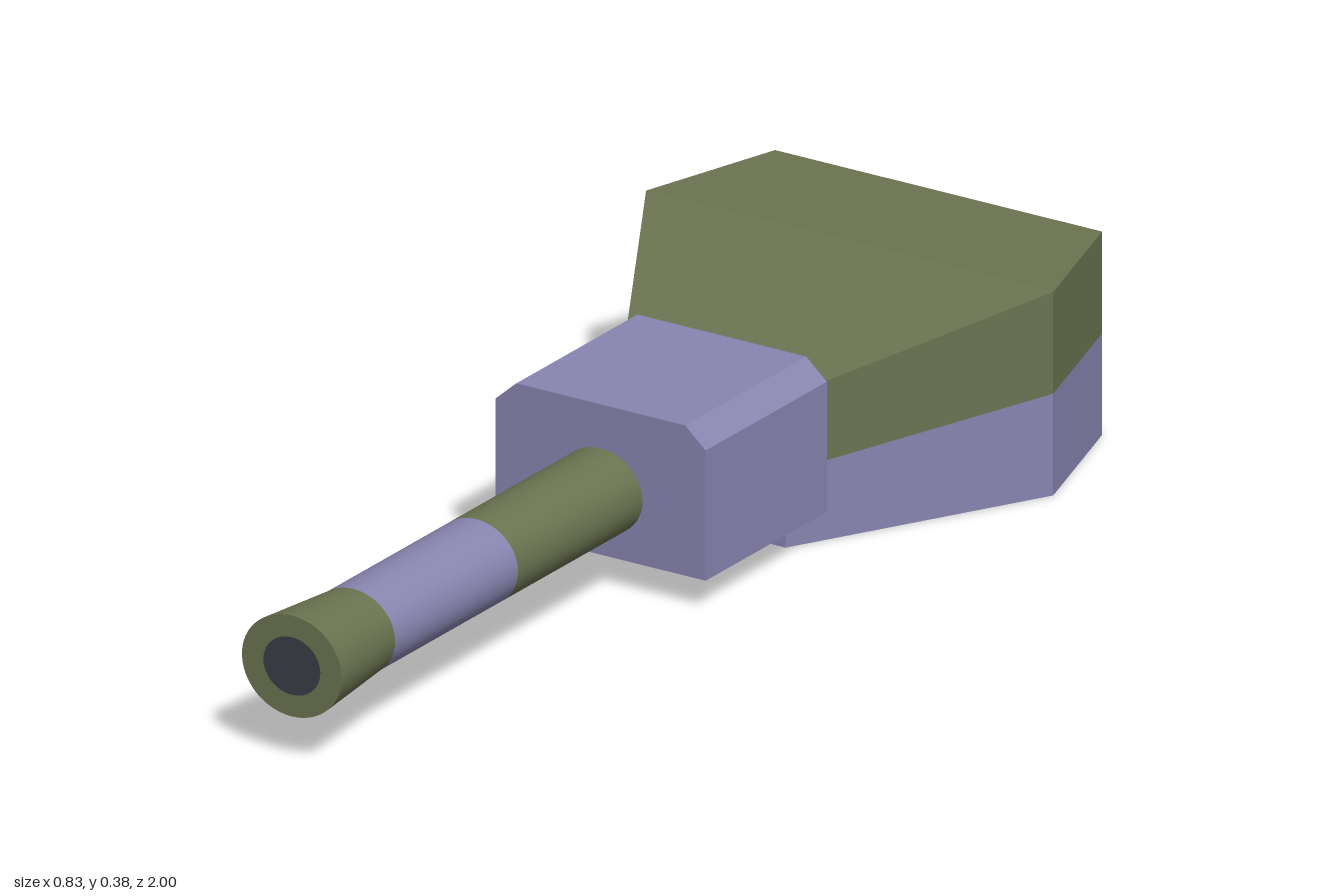
import * as THREE from 'three';

const flat = (color) => new THREE.MeshStandardMaterial({ color, flatShading: true });
const smooth = (color) => new THREE.MeshStandardMaterial({ color });
const OLIVE = 0x6b7350, PURPLE = 0x8885b0, DARK = 0x3b3d46;

function add(group, name, geometry, material) {
  const mesh = new THREE.Mesh(geometry, material);
  mesh.name = name;
  group.add(mesh);
  return mesh;
}

// Plan stations of the turret body, back to front: z, half width, roof height
const STATIONS = [
  [-1, 0.335, 0.375],
  [-0.725, 0.417, 0.375],
  [-0.275, 0.167, 0.278],
];

// One layer of the body, between two fractions of the roof height
function bodyLayer(from, to) {
  const geo = new THREE.BoxGeometry(2, 1, 2, 1, 1, 2);
  const p = geo.attributes.position;
  for (let i = 0; i < p.count; i++) {
    const [z, half, roof] = STATIONS[Math.round(p.getZ(i)) + 1];
    p.setXYZ(i, Math.sign(p.getX(i)) * half, roof * (p.getY(i) > 0 ? to : from), z);
  }
  geo.computeVertexNormals();
  return geo;
}

export function createModel() {
  const model = new THREE.Group();
  model.name = 'gunTurret';

  // Two-tone wedge body
  add(model, 'lowerBody', bodyLayer(0, 0.5), flat(PURPLE));
  add(model, 'upperBody', bodyLayer(0.5, 1), flat(OLIVE));

  // Gun mount block with chamfered top edges
  const outline = [
    [-0.215, 0.058], [0.215, 0.058], [0.215, 0.298],
    [0.173, 0.335], [-0.173, 0.335], [-0.215, 0.298],
  ].map(([x, y]) => new THREE.Vector2(x, y));
  const mount = new THREE.ExtrudeGeometry(new THREE.Shape(outline), { depth: 0.375, bevelEnabled: false });
  mount.translate(0, 0, -0.33);
  add(model, 'gunMount', mount, flat(PURPLE));

  // Slightly oval barrel, pointing forward
  const barrel = new THREE.Group();
  barrel.name = 'barrel';
  barrel.position.y = 0.176;
  barrel.scale.set(1.1, 1, 1);
  model.add(barrel);

  const sections = [
    ['barrelBase', 0, 0.43, 0.078, 0.078, OLIVE],
    ['barrelSleeve', 0.43, 0.81, 0.078, 0.078, PURPLE],
    ['muzzleFlare', 0.81, 1, 0.078, 0.093, OLIVE],
  ];
  for (const [name, z0, z1, r0, r1, color] of sections) {
    const geo = new THREE.CylinderGeometry(r1, r0, z1 - z0, 48, 1, true);
    geo.rotateX(Math.PI / 2).translate(0, 0, (z0 + z1) / 2);
    add(barrel, name, geo, smooth(color));
  }

  // Muzzle face and dark bore
  add(barrel, 'muzzleFace', new THREE.RingGeometry(0.053, 0.093, 48), smooth(OLIVE)).position.z = 1;
  add(barrel, 'bore', new THREE.CircleGeometry(0.053, 48), smooth(DARK)).position.z = 1;

  return model;
}
